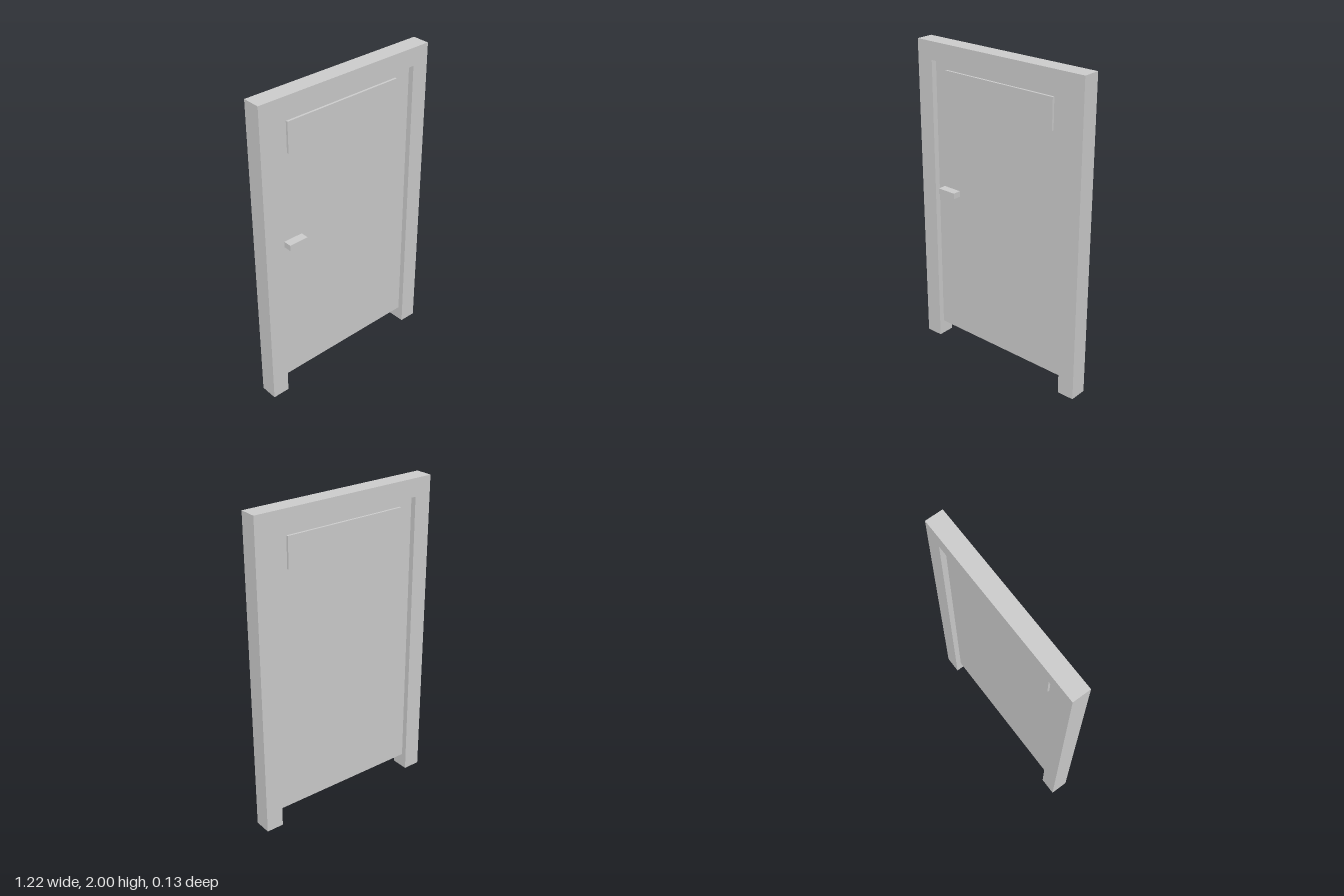
import * as THREE from 'three';

const material = new THREE.MeshStandardMaterial({ color: 0xcccccc });

// Box given by its extents along x, y and z
function box(name, [x0, x1], [y0, y1], [z0, z1]) {
  const mesh = new THREE.Mesh(new THREE.BoxGeometry(x1 - x0, y1 - y0, z1 - z0), material);
  mesh.position.set((x0 + x1) / 2, (y0 + y1) / 2, (z0 + z1) / 2);
  mesh.name = name;
  return mesh;
}

export function createModel() {
  const model = new THREE.Group();
  model.name = 'door';

  const outer = 0.611, inner = 0.5, top = 2, innerTop = 1.888;
  const back = -0.067, front = 0.045;

  // Door frame: one U-shaped outline, open at the bottom
  const outline = new THREE.Shape([
    [-outer, 0], [-inner, 0], [-inner, innerTop], [inner, innerTop],
    [inner, 0], [outer, 0], [outer, top], [-outer, top],
  ].map(([x, y]) => new THREE.Vector2(x, y)));
  const frame = new THREE.Mesh(
    new THREE.ExtrudeGeometry(outline, { depth: front - back, bevelEnabled: false }), material);
  frame.position.z = back;
  frame.name = 'frame';
  model.add(frame);

  // Leaf set back between the jambs, raised off the floor
  model.add(box('leaf', [-inner, inner], [0.093, innerTop], [-0.032, 0.01]));

  // Transom panel standing proud of both faces
  model.add(box('upperPanel', [-0.411, 0.389], [1.645, 1.837], [-0.046, 0.024]));

  // Handle on the front only
  model.add(box('handle', [-0.455, -0.327], [1.05, 1.087], [0.01, 0.063]));

  return model;
}
